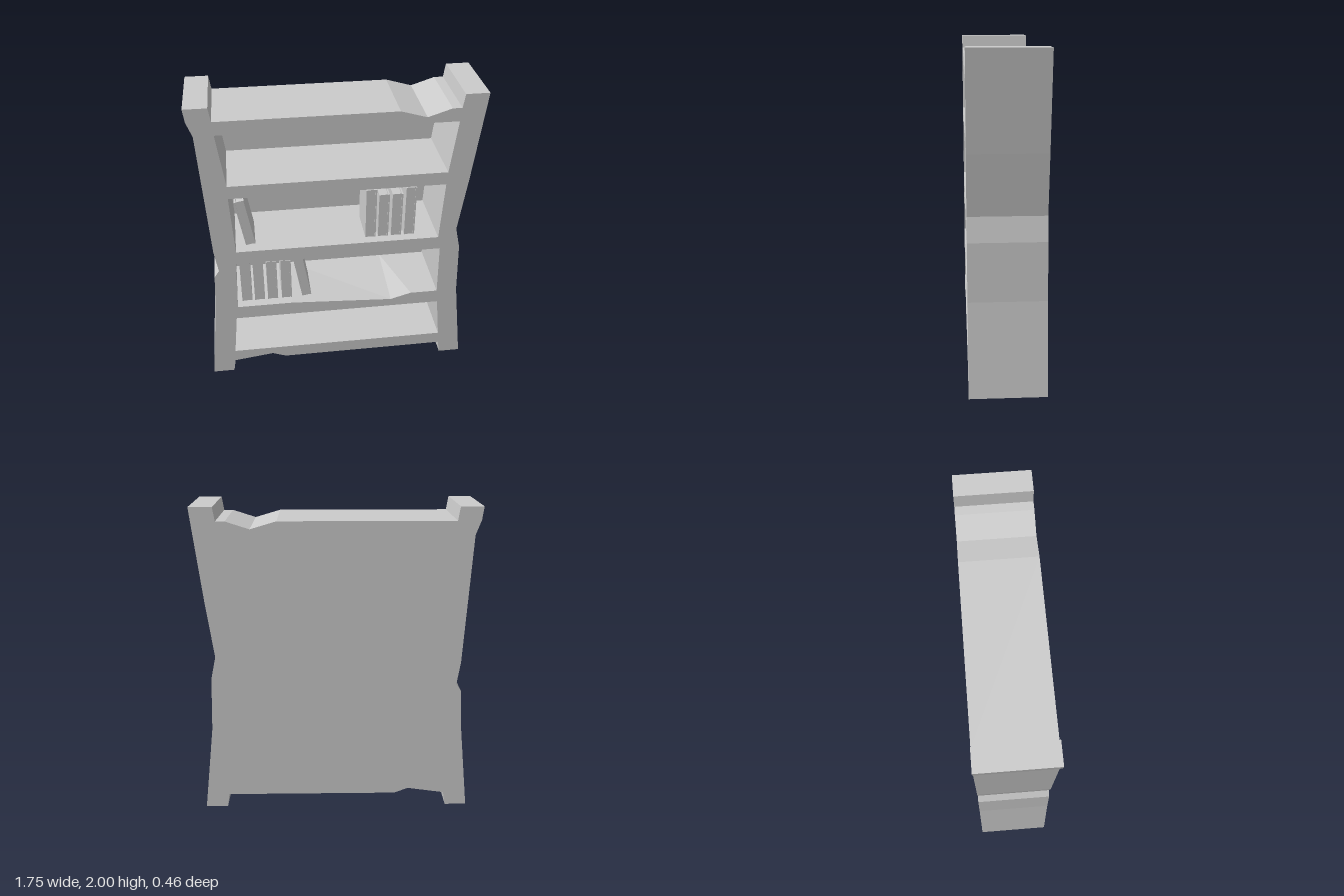
import * as THREE from 'three';

const material = new THREE.MeshStandardMaterial({ color: 0xcccccc, flatShading: true });
const HALF = 0.23; // half depth of the case

const toPoints = (list) => list.map(([x, y]) => new THREE.Vector2(x, y));

function extrude(points, depth, z, holes = []) {
  const shape = new THREE.Shape(toPoints(points));
  for (const h of holes) shape.holes.push(new THREE.Path(toPoints(h)));
  return new THREE.ExtrudeGeometry(shape, { depth, bevelEnabled: false }).translate(0, 0, z);
}

function addMesh(parent, name, geometry) {
  const mesh = new THREE.Mesh(geometry, material);
  mesh.name = name;
  parent.add(mesh);
  return mesh;
}

// Crooked silhouette with feet, horns and worn notches
const outline = [
  [-0.875, 2], [-0.865, 1.92], [-0.832, 1.83], [-0.79, 1.02], [-0.768, 0.875], [-0.8, 0.825],
  [-0.815, 0.57], [-0.875, 0], [-0.735, 0], [-0.72, 0.09], [-0.46, 0.125], [-0.37, 0.09],
  [0.717, 0.09], [0.73, 0], [0.873, 0], [0.805, 0.57], [0.792, 0.92], [0.76, 1.065],
  [0.808, 1.43], [0.873, 2], [0.73, 2], [0.717, 1.915], [0.66, 1.915], [0.515, 1.868],
  [0.355, 1.915], [-0.722, 1.915], [-0.735, 2],
];

// Tapered compartments, top to bottom
const openings = [
  [[-0.67, 1.49], [0.67, 1.49], [0.71, 1.83], [-0.715, 1.83]],
  [[-0.65, 1.01], [0.645, 1.01], [0.665, 1.405], [-0.67, 1.405]],
  [[-0.67, 0.565], [0.67, 0.565], [0.663, 0.92], [-0.657, 0.92]],
  [[-0.715, 0.177], [0.71, 0.177], [0.68, 0.47], [-0.685, 0.47]],
];

function caseGeometry() {
  // The third compartment has a floor worn down at its front edge
  const holes = openings.map((o, i) => (i === 2
    ? [o[0], [-0.31, 0.565], [0.355, 0.525], [0.49, 0.565], ...o.slice(1)] : o));
  const geometry = extrude(outline, HALF * 2, -HALF, holes);
  const p = geometry.attributes.position;
  for (let i = 0; i < p.count; i++) {
    if (p.getZ(i) > 0) continue;
    const x = p.getX(i), y = p.getY(i);
    if (Math.abs(y - 0.525) < 0.001) p.setY(i, 0.565); // floor is level at the back
    if (y < 0.2 && Math.abs(x + 0.415) < 0.06) p.setX(i, x - 0.02); // skewed chip under the base
  }
  geometry.computeVertexNormals();
  return geometry;
}

// A book standing on its base centre: two boards, a spine and a page block
function makeBook(width, height, depth = 0.25) {
  const book = new THREE.Group();
  book.name = 'book';
  const board = 0.009;
  for (const side of [-1, 1]) {
    addMesh(book, 'cover', new THREE.BoxGeometry(board, height, depth))
      .position.set(side * (width - board) / 2, height / 2, 0);
  }
  const inner = width - board * 2;
  addMesh(book, 'spine', new THREE.BoxGeometry(inner, height, board))
    .position.set(0, height / 2, depth / 2 - board / 2 - 0.003);
  addMesh(book, 'pages', new THREE.BoxGeometry(inner, height - 0.024, depth - 0.03))
    .position.set(0, height / 2, -0.002);
  return book;
}

export function createModel() {
  const model = new THREE.Group();
  model.name = 'bookshelf';
  addMesh(model, 'case', caseGeometry());

  // Thin panels closing the back of each compartment
  for (const o of openings) addMesh(model, 'backPanel', extrude(o, 0.01, -HALF));

  // Books: centre x, base y, height, lean
  const books = [
    [0.213, 1.01, 0.35, 0], [0.295, 1.01, 0.31, 0], [0.38, 1.01, 0.31, 0], [0.466, 1.01, 0.35, 0],
    [-0.555, 1.022, 0.325, 0.17],
    [-0.605, 0.565, 0.345, 0], [-0.521, 0.565, 0.345, 0], [-0.434, 0.565, 0.305, 0],
    [-0.341, 0.565, 0.305, 0], [-0.208, 0.572, 0.325, 0.17],
  ];
  for (const [x, y, height, lean] of books) {
    const book = makeBook(lean ? 0.061 : 0.067, height);
    book.position.set(x, y, 0.045);
    book.rotation.z = lean;
    model.add(book);
  }
  return model;
}
